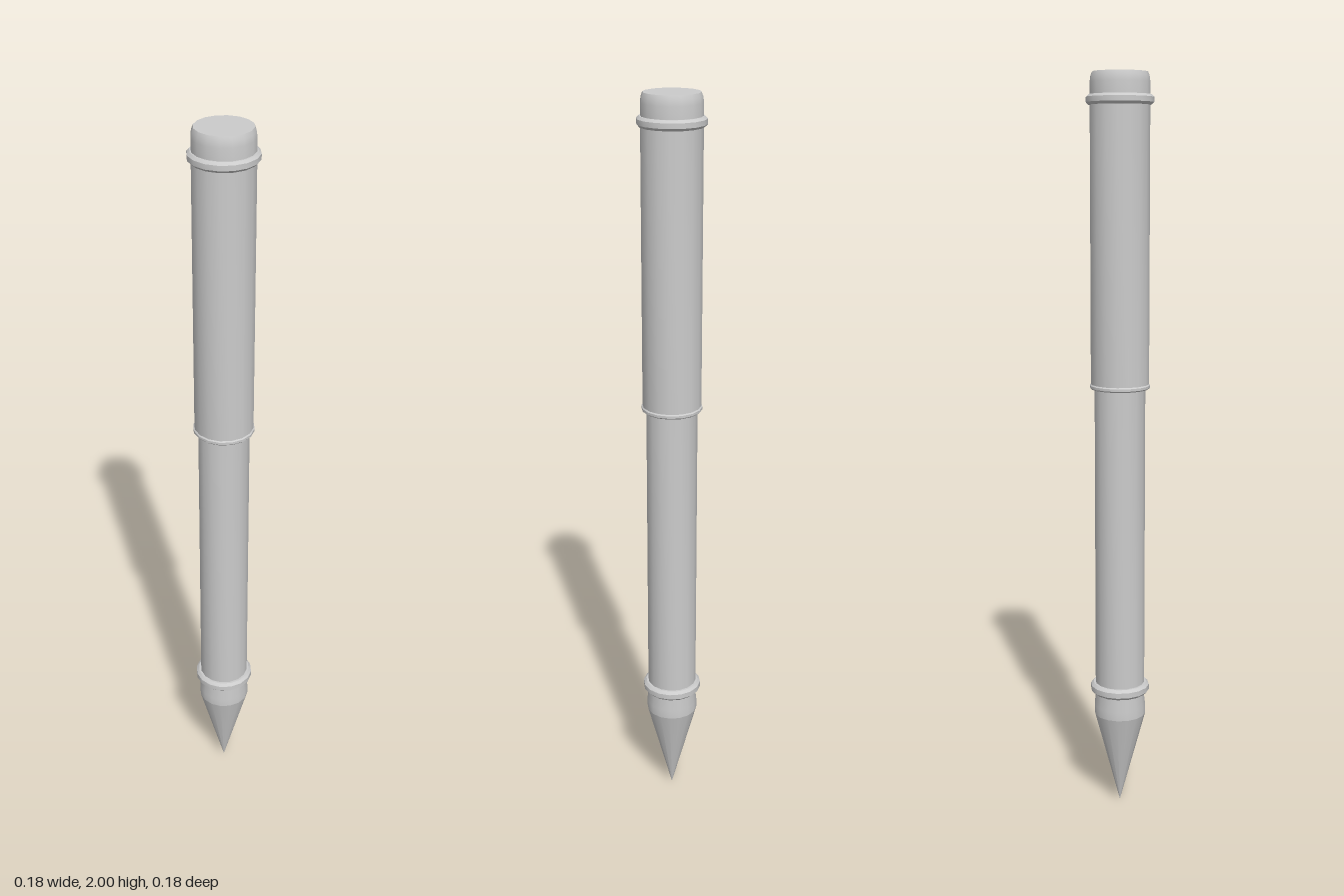
import * as THREE from 'three';
import { toCreasedNormals } from 'three/addons/utils/BufferGeometryUtils.js';

const SIDES = 16;

export function createModel() {
  const group = new THREE.Group();
  const material = new THREE.MeshStandardMaterial({ color: 0xcccccc });

  // Turned part from [radius, height] pairs, bottom to top
  function turned(name, profile) {
    const points = profile.map(([r, y]) => new THREE.Vector2(r, y));
    const geometry = toCreasedNormals(new THREE.LatheGeometry(points, SIDES), 0.55);
    const mesh = new THREE.Mesh(geometry, material);
    mesh.name = name;
    group.add(mesh);
  }

  // Band with chamfered edges, closed back to the shaft inside it
  function band(name, inner, outer, bottom, top) {
    const c = (top - bottom) * 0.25;
    turned(name, [
      [inner, bottom], [outer - c, bottom], [outer, bottom + c],
      [outer, top - c], [outer - c, top], [inner, top],
    ]);
  }

  // Writing end
  turned('tip', [[0, 0], [0.071, 0.265], [0.066, 0.268]]);
  turned('tipCollar', [[0.071, 0.265], [0.071, 0.29], [0.067, 0.325], [0.067, 0.34]]);
  band('gripRing', 0.06, 0.081, 0.328, 0.357);

  // Barrel
  turned('barrel', [[0.068, 0.34], [0.068, 1.2]]);

  // Cap, open lip at the bottom and bevelled crown at the top
  band('capLip', 0.06, 0.081, 1.184, 1.197);
  turned('cap', [[0.06, 1.188], [0.078, 1.188], [0.078, 1.93]]);
  band('capRing', 0.07, 0.088, 1.918, 1.944);
  turned('crown', [[0.078, 1.93], [0.078, 1.975], [0.076, 1.99], [0.072, 2], [0, 2]]);

  return group;
}
